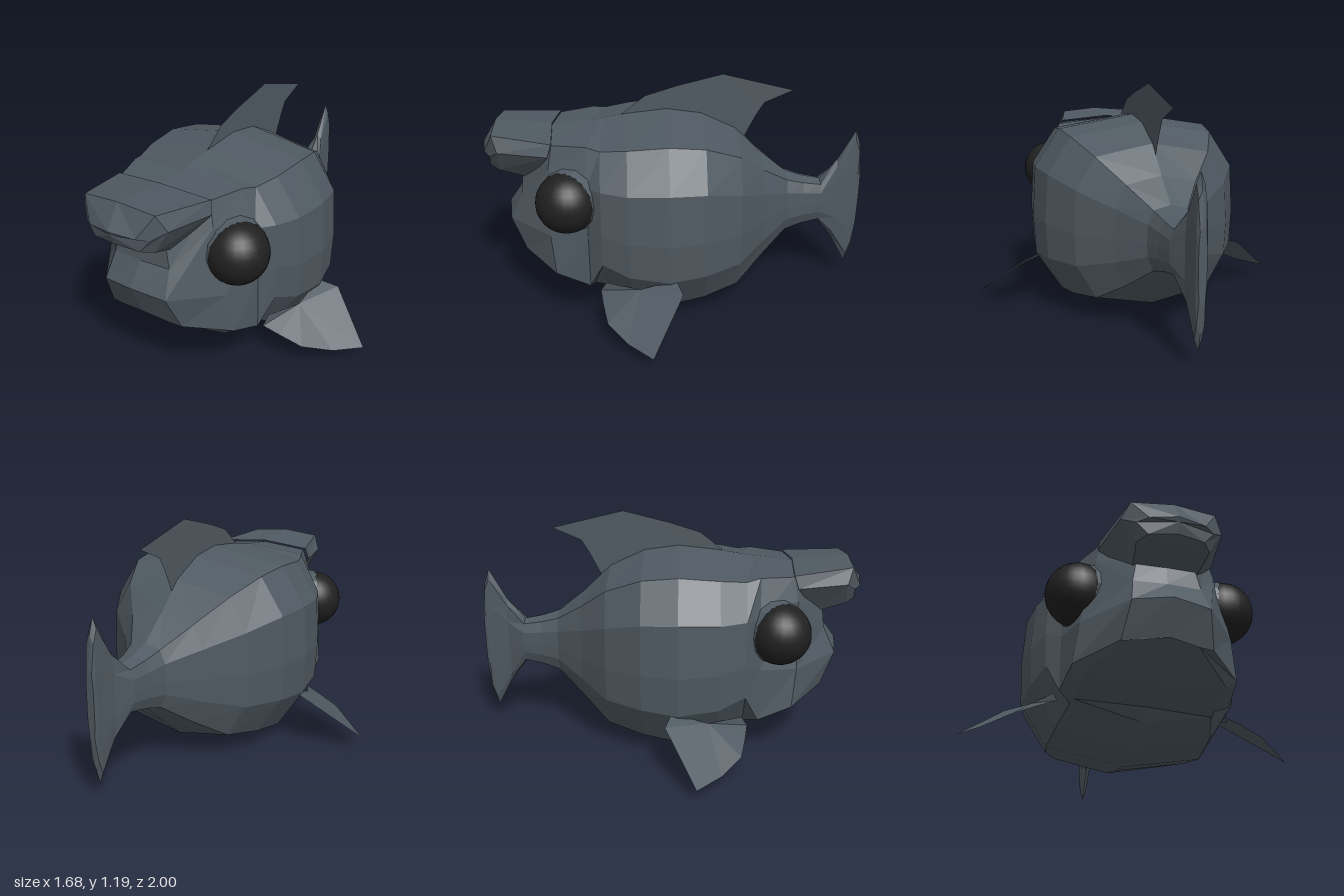
import * as THREE from 'three';

const skin = new THREE.MeshStandardMaterial({ color: 0x4f5961, flatShading: true });
skin.name = 'slate skin';
const finSkin = new THREE.MeshStandardMaterial({ color: 0x4f5961, flatShading: true, side: THREE.DoubleSide });
finSkin.name = 'slate fin';
const eyeBlack = new THREE.MeshStandardMaterial({ color: 0x202020 });
eyeBlack.name = 'eye black';

function toGeometry(positions) {
  const g = new THREE.BufferGeometry();
  g.setAttribute('position', new THREE.Float32BufferAttribute(positions, 3));
  g.computeVertexNormals();
  return g;
}

// Skin half-rings (top centre to bottom centre on +x) mirrored to full rings, front to back
function loft(halfRings) {
  const rings = halfRings.map((h) => [
    ...h,
    ...h.slice(1, -1).reverse().map(([x, y, z]) => [-x, y, z]),
  ]);
  const out = [];
  const same = (p, q) => p.every((v, k) => Math.abs(v - q[k]) < 1e-6);
  const tri = (a, b, c) => {
    if (!same(a, b) && !same(b, c) && !same(a, c)) out.push(...a, ...b, ...c);
  };
  for (let r = 0; r < rings.length - 1; r++) {
    const a = rings[r], b = rings[r + 1], n = a.length;
    for (let i = 0; i < n; i++) {
      const j = (i + 1) % n;
      tri(a[i], a[j], b[i]);
      tri(a[j], b[j], b[i]);
    }
  }
  return toGeometry(out);
}

// Flat fan from the first point
function fan(points) {
  const out = [];
  for (let i = 1; i < points.length - 1; i++) out.push(...points[0], ...points[i], ...points[i + 1]);
  return toGeometry(out);
}

// Trunk cross-section: share of half width, share of height
const SECTION = [[0, 1], [0.73, 0.935], [0.97, 0.74], [1, 0.48], [0.98, 0.28], [0.73, 0.07], [0, 0]];
const station = ([z, top, bottom, half]) =>
  SECTION.map(([u, v]) => [u * half, bottom + v * (top - bottom), z]);

export function createModel() {
  const model = new THREE.Group();
  model.name = 'fish';
  const add = (geometry, material, name, parent = model) => {
    const mesh = new THREE.Mesh(geometry, material);
    mesh.name = name;
    parent.add(mesh);
    return mesh;
  };

  // Face and jaw
  const face = [[0, 0.74, 0.79], [0.14, 0.72, 0.79], [0.16, 0.62, 0.8], [0.18, 0.49, 0.86],
    [0.21, 0.325, 0.79], [0.14, 0.33, 0.8], [0, 0.35, 0.82]];
  const faceCentre = [[0, 0.74, 0.79], [0, 0.74, 0.79], [0, 0.62, 0.81], [0, 0.51, 0.89],
    [0, 0.35, 0.82], [0, 0.35, 0.82], [0, 0.35, 0.82]];
  const cheek = [[0, 0.935, 0.64], [0.26, 0.915, 0.62], [0.29, 0.8, 0.64], [0.36, 0.47, 0.64],
    [0.385, 0.27, 0.62], [0.33, 0.235, 0.62], [0, 0.23, 0.62]];
  const jawEnd = [[0, 0.955, 0.45], [0.32, 0.925, 0.45], [0.39, 0.74, 0.45], [0.41, 0.48, 0.45],
    [0.41, 0.21, 0.45], [0.34, 0.185, 0.43], [0, 0.18, 0.43]];

  // Trunk and tail: z, top, bottom, half width
  const trunk = [
    [0.38, 0.967, 0.12, 0.475],
    [0.25, 0.988, 0.045, 0.525],
    [0.05, 1.01, 0.003, 0.545],
    [-0.13, 0.985, 0.035, 0.51],
    [-0.31, 0.9, 0.073, 0.4],
    [-0.45, 0.765, 0.19, 0.24],
    [-0.59, 0.652, 0.315, 0.115],
    [-0.68, 0.622, 0.345, 0.09],
    [-0.78, 0.602, 0.365, 0.072],
    [-0.87, 0.71, 0.25, 0.032],
    [-0.96, 0.877, 0.087, 0.026],
    [-0.985, 0.8, 0.17, 0.026],
    [-1.0, 0.65, 0.31, 0.02],
    [-1.0, 0.64, 0.32, 0],
  ].map(station);
  add(loft([faceCentre, face, cheek, jawEnd, ...trunk]), skin, 'body');

  // Overhanging snout
  const tip = [0, 0.83, 0.99];
  add(loft([
    [tip, tip, tip, tip, tip],
    [[0, 0.85, 1.0], [0.13, 0.84, 0.975], [0.18, 0.83, 0.94], [0.13, 0.77, 0.95], [0, 0.78, 0.97]],
    [[0, 0.965, 0.93], [0.2, 0.948, 0.92], [0.24, 0.87, 0.89], [0.17, 0.755, 0.9], [0, 0.765, 0.94]],
    [[0, 0.942, 0.64], [0.27, 0.922, 0.62], [0.285, 0.86, 0.64], [0.15, 0.7, 0.75], [0, 0.7, 0.75]],
  ]), skin, 'snout');

  // Dorsal fin, a single sheet rooted in the back
  const dorsal = [[0, 0.9, -0.22], [0, 0.93, 0.26], [0, 0.985, 0.28], [0, 1.08, 0.16], [0, 1.13, 0],
    [0, 1.19, -0.24], [0, 1.1, -0.61], [0, 1.035, -0.46], [0, 0.97, -0.42], [0, 0.83, -0.35]];
  const outline = new THREE.Shape(dorsal.map(([, y, z]) => new THREE.Vector2(-z, y)));
  add(new THREE.ShapeGeometry(outline).rotateY(Math.PI / 2), finSkin, 'dorsalFin');

  for (const s of [1, -1]) {
    const side = s > 0 ? 'left' : 'right';

    // Pectoral fin
    const pectoral = [[0.5, 0.235, 0.2], [0.51, 0.29, 0.02], [0.61, 0.265, -0.01], [0.84, 0.065, 0.14],
      [0.73, 0.075, 0.26], [0.61, 0.11, 0.36], [0.5, 0.15, 0.385], [0.41, 0.18, 0.4], [0.42, 0.23, 0.37]];
    add(fan(pectoral.map(([x, y, z]) => [s * x, y, z])), finSkin, side + 'PectoralFin');

    // Eye in a raised socket turned slightly forward
    const eye = new THREE.Group();
    eye.name = side + 'Eye';
    eye.position.set(s * 0.358, 0.655, 0.55);
    eye.rotation.y = s > 0 ? -0.5 : Math.PI + 0.5;
    model.add(eye);
    add(new THREE.SphereGeometry(0.153, 24, 16), eyeBlack, side + 'Eyeball', eye);
    const socket = new THREE.CylinderGeometry(0.155, 0.175, 0.1, 14).rotateZ(-Math.PI / 2);
    add(socket, skin, side + 'EyeSocket', eye).position.x = -0.04;
  }
  return model;
}
